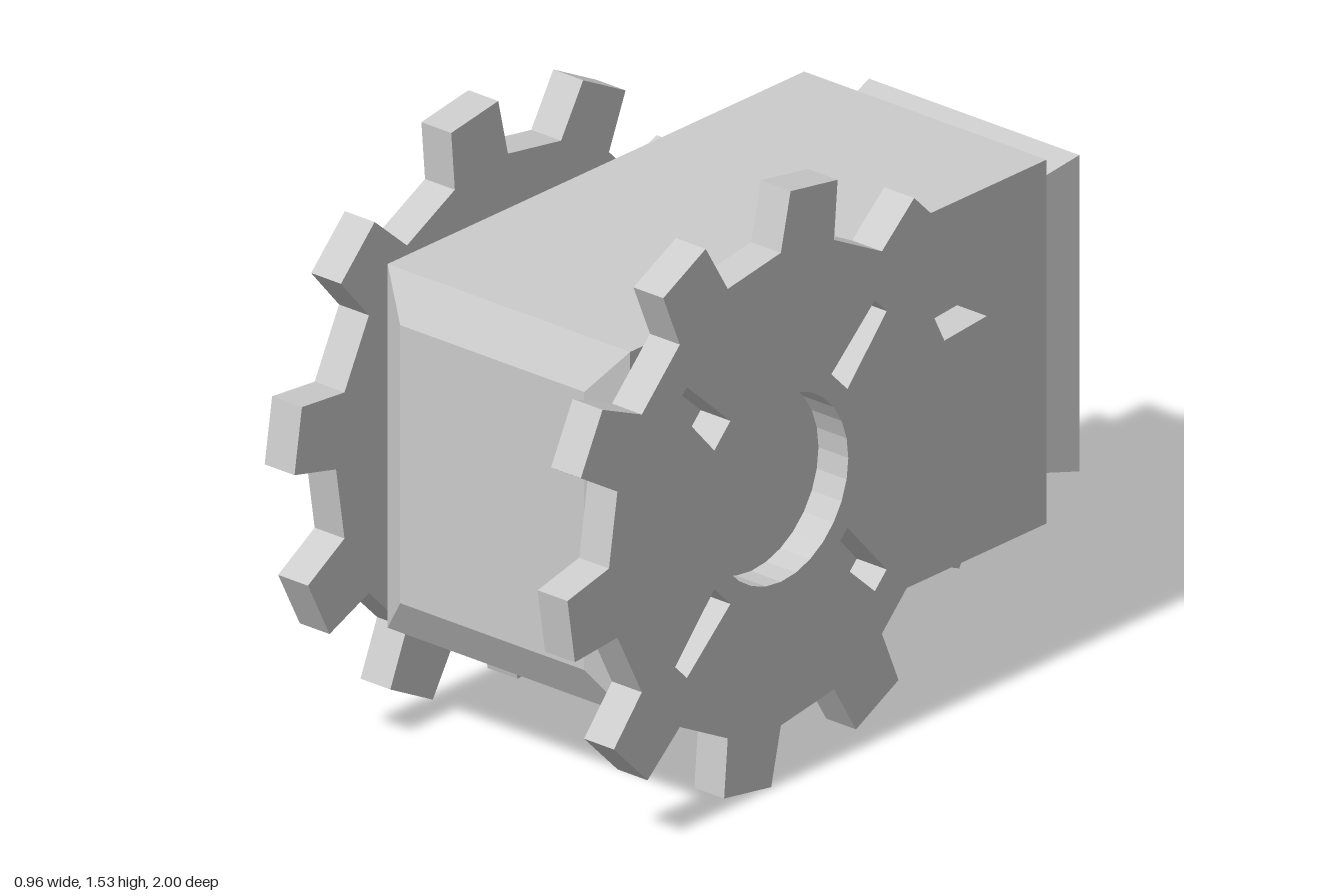
import * as THREE from 'three';

const material = new THREE.MeshStandardMaterial({ color: 0xcccccc, flatShading: true });
const CY = 0.766; // height of the gear axis
const GEAR_Z = 0.237;

// Skin a run of rectangles [halfWidth, halfHeight, z], front to back, and cap both ends.
function rectLoft(rings) {
  const positions = [];
  const index = [];
  for (const [w, h, z] of rings) positions.push(-w, -h, z, w, -h, z, w, h, z, -w, h, z);
  for (let k = 0; k < rings.length - 1; k++) {
    for (let i = 0; i < 4; i++) {
      const a = k * 4 + i;
      const b = k * 4 + (i + 1) % 4;
      index.push(a, a + 4, b, b, a + 4, b + 4);
    }
  }
  const e = (rings.length - 1) * 4;
  index.push(0, 1, 2, 0, 2, 3, e, e + 2, e + 1, e, e + 3, e + 2);
  const indexed = new THREE.BufferGeometry();
  indexed.setAttribute('position', new THREE.Float32BufferAttribute(positions, 3));
  indexed.setIndex(index);
  const geometry = indexed.toNonIndexed();
  geometry.computeVertexNormals();
  return geometry;
}

const polar = (r, degrees) => {
  const a = THREE.MathUtils.degToRad(degrees);
  return new THREE.Vector2(r * Math.cos(a), r * Math.sin(a));
};

// Ten-toothed plate with a round centre hole and four tapered diagonal slots.
function gearGeometry() {
  const outline = [];
  for (let i = 0; i < 10; i++) {
    const t = i * 36;
    outline.push(polar(0.617, t), polar(0.767, t + 2.6), polar(0.767, t + 15.4), polar(0.617, t + 18));
  }
  const shape = new THREE.Shape(outline);
  shape.holes.push(new THREE.Path().absarc(0, 0, 0.242, 0, Math.PI * 2, true));
  for (let i = 0; i < 4; i++) {
    const slot = [[0.297, 0.041], [0.297, -0.041], [0.507, -0.03], [0.507, 0.03]];
    const centre = new THREE.Vector2();
    const turn = Math.PI / 4 + i * Math.PI / 2;
    shape.holes.push(new THREE.Path(slot.map(([x, y]) =>
      new THREE.Vector2(x, y).rotateAround(centre, turn))));
  }
  return new THREE.ExtrudeGeometry(shape, { depth: 0.095, bevelEnabled: false, curveSegments: 14 });
}

export function createModel() {
  const model = new THREE.Group();
  const add = (name, geometry, x, y, z) => {
    const mesh = new THREE.Mesh(geometry, material);
    mesh.name = name;
    mesh.position.set(x, y, z);
    model.add(mesh);
    return mesh;
  };

  // Housing: bevelled front, long box, flared rear frame, recessed panel and socket
  add('housing', rectLoft([
    [0.293, 0.363, 0.73],
    [0.386, 0.475, 0.67],
    [0.386, 0.475, -0.825],
    [0.305, 0.37, -0.825],
    [0.335, 0.413, -1],
    [0.235, 0.288, -0.875],
    [0.17, 0.125, -0.875],
    [0.17, 0.125, -0.77],
  ]), 0, CY, 0);

  // Octagonal domed plug in the rear socket
  const plug = new THREE.LatheGeometry([
    new THREE.Vector2(0.1, 0),
    new THREE.Vector2(0.1, 0.065),
    new THREE.Vector2(0.06, 0.082),
    new THREE.Vector2(0, 0.088),
  ], 8);
  plug.rotateY(Math.PI / 8);
  plug.rotateX(-Math.PI / 2);
  add('rearPlug', plug, 0, CY, -0.77);

  // Side gears, each turned to face outward
  const gear = gearGeometry();
  for (const side of [1, -1]) {
    const mesh = add(side > 0 ? 'leftGear' : 'rightGear', gear, side * 0.387, CY, GEAR_Z);
    mesh.rotation.y = side * Math.PI / 2;
  }
  return model;
}
